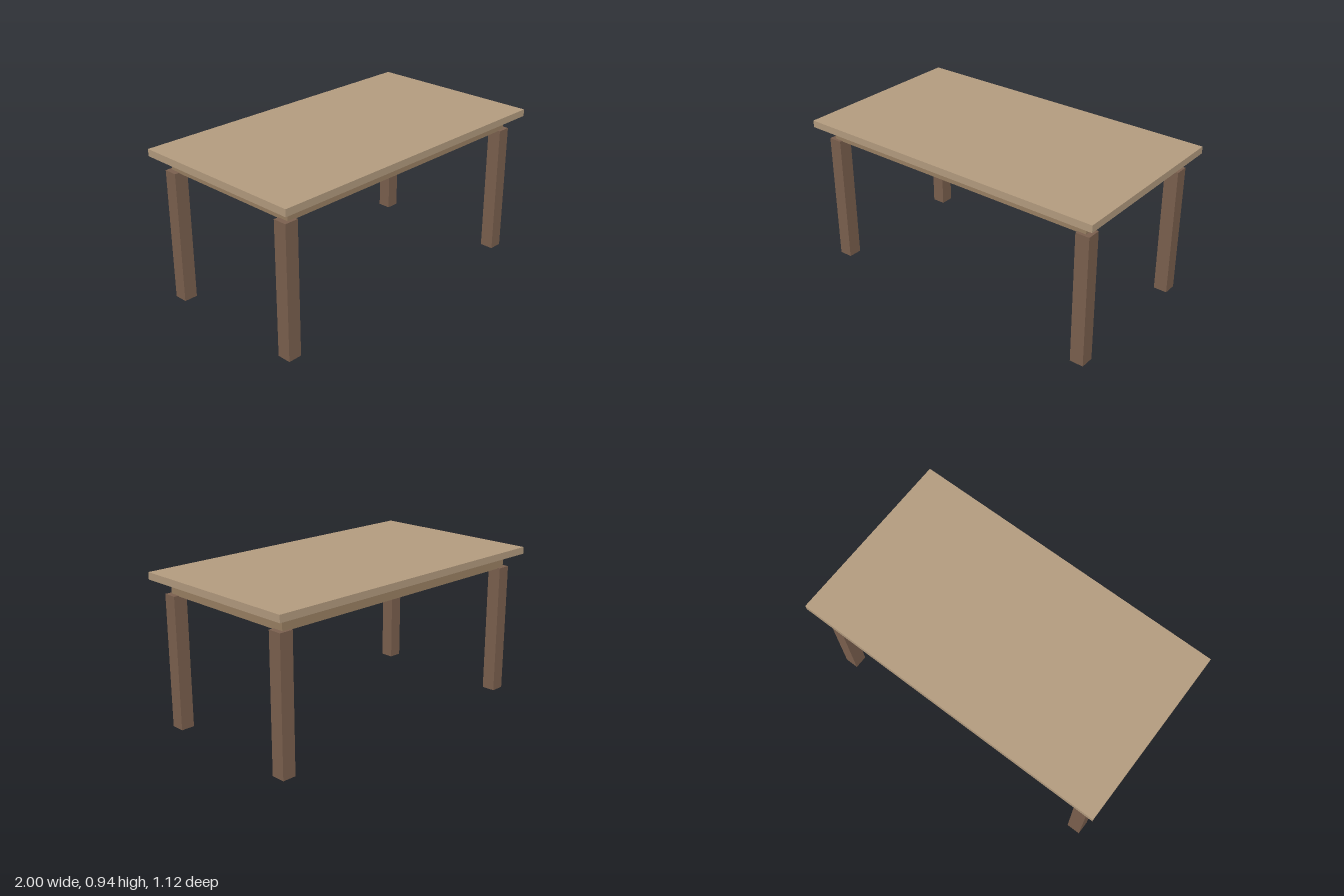
import * as THREE from 'three';

// Adds a named box spanning the heights y0 to y1, centred on (x, z)
function addBox(parent, name, color, width, depth, y0, y1, x = 0, z = 0) {
  const mesh = new THREE.Mesh(
    new THREE.BoxGeometry(width, y1 - y0, depth),
    new THREE.MeshStandardMaterial({ color })
  );
  mesh.name = name;
  mesh.position.set(x, (y0 + y1) / 2, z);
  parent.add(mesh);
}

export function createModel() {
  const table = new THREE.Group();
  table.name = 'table';

  // Overhanging top on a solid apron block
  addBox(table, 'tableTop', 0xb59d80, 2, 1.123, 0.895, 0.938);
  addBox(table, 'apron', 0x9b8164, 1.822, 0.949, 0.809, 0.895);

  // Four square legs, standing slightly proud of the apron corners
  for (const [end, sz] of [['front', 1], ['back', -1]]) {
    for (const [side, sx] of [['Left', 1], ['Right', -1]]) {
      addBox(table, `${end}${side}Leg`, 0x7c614f, 0.085, 0.085, 0, 0.8135, sx * 0.9, sz * 0.45);
    }
  }
  return table;
}
